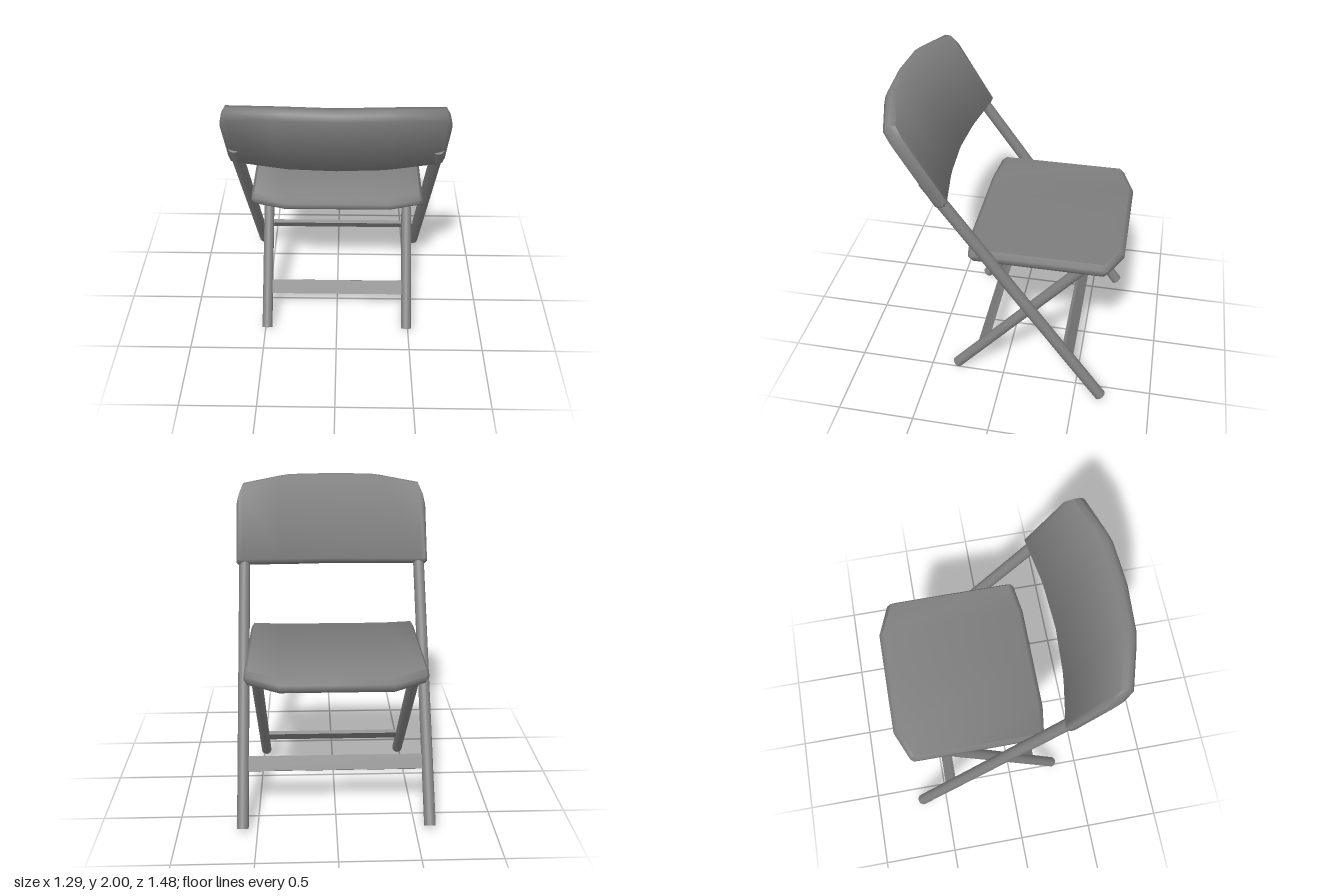
import * as THREE from 'three';
import { toCreasedNormals } from 'three/addons/utils/BufferGeometryUtils.js';

const grey = new THREE.MeshStandardMaterial({ color: 0x808080 });
grey.name = 'grey';

// Padded panel: bevelled slab sections lofted along x.
// Each half station is [x, start, end, halfThickness, zShift, yShift]; it is mirrored to -x.
// along and normal are unit directions in the yz plane.
function paddedPanel(name, half, origin, along, normal, bevel) {
  const mirrored = half.filter((s) => s[0] > 0).reverse().map(([x, ...rest]) => [-x, ...rest]);
  const stations = [...mirrored, ...half];
  const n = 8, positions = [], index = [];
  for (const [x, a0, a1, h, dz, dy] of stations) {
    const k = h / 3;
    const ring = [
      [a0, -k], [a0 + bevel, -h], [a1 - bevel, -h], [a1, -k],
      [a1, k], [a1 - bevel, h], [a0 + bevel, h], [a0, k],
    ];
    for (const [a, w] of ring) {
      const p = origin.clone().addScaledVector(along, a).addScaledVector(normal, w);
      positions.push(x, p.y + dy, p.z + dz);
    }
  }
  const last = (stations.length - 1) * n;
  for (let i = 0; i < last; i += n) {
    for (let j = 0; j < n; j++) {
      const k = (j + 1) % n;
      index.push(i + j, i + k, i + n + k, i + j, i + n + k, i + n + j);
    }
  }
  for (let j = 1; j < n - 1; j++) {
    index.push(0, j + 1, j, last, last + j, last + j + 1);
  }
  const geometry = new THREE.BufferGeometry();
  geometry.setAttribute('position', new THREE.Float32BufferAttribute(positions, 3));
  geometry.setIndex(index);
  const mesh = new THREE.Mesh(toCreasedNormals(geometry, 1.05), grey);
  mesh.name = name;
  return mesh;
}

// Round tube leg between two points
function rod(name, from, to, radius) {
  const dir = to.clone().sub(from);
  const mesh = new THREE.Mesh(new THREE.CylinderGeometry(radius, radius, dir.length(), 20), grey);
  mesh.position.copy(from).add(to).multiplyScalar(0.5);
  mesh.quaternion.setFromUnitVectors(new THREE.Vector3(0, 1, 0), dir.normalize());
  mesh.name = name;
  return mesh;
}

// Pair of legs with a flat crossbar lying in their plane
function legFrame(name, x, foot, top, radius, barY) {
  const group = new THREE.Group();
  group.name = name;
  for (const [side, s] of [['left', 1], ['right', -1]]) {
    group.add(rod(side + 'Leg', new THREE.Vector3(s * x, ...foot), new THREE.Vector3(s * x, ...top), radius));
  }
  const dy = top[0] - foot[0], dz = top[1] - foot[1];
  const bar = new THREE.Mesh(new THREE.BoxGeometry(2 * x - radius, 0.095, 0.025), grey);
  bar.name = 'crossbar';
  bar.position.set(0, barY, foot[1] + (barY - foot[0]) * dz / dy);
  bar.rotation.x = Math.atan2(dz, dy);
  group.add(bar);
  return group;
}

export function createModel() {
  const chair = new THREE.Group();
  chair.name = 'foldingChair';

  // Seat, with raised sides and clipped corners
  chair.add(paddedPanel('seat', [
    [0, -0.74, 0.235, 0.045, 0, 0],
    [0.34, -0.74, 0.235, 0.045, 0, 0],
    [0.53, -0.66, 0.205, 0.045, 0, 0.02],
    [0.55, -0.64, 0.19, 0.015, 0, 0.018],
  ], new THREE.Vector3(0, 1.025, 0), new THREE.Vector3(0, 0, 1), new THREE.Vector3(0, -1, 0), 0.03));

  // Backrest, leaning back and curved around the sitter
  chair.add(paddedPanel('backrest', [
    [0, 0, 0.636, 0.045, 0, 0],
    [0.28, 0, 0.634, 0.045, -0.016, 0],
    [0.35, 0, 0.622, 0.045, -0.025, 0.003],
    [0.60, 0, 0.569, 0.045, -0.068, 0.012],
    [0.63, 0, 0.49, 0.042, -0.076, 0.014],
    [0.645, 0.01, 0.42, 0.02, -0.08, 0.016],
  ], new THREE.Vector3(0, 1.446, 0.391), new THREE.Vector3(0, 0.862, 0.507),
  new THREE.Vector3(0, -0.507, 0.862), 0.02));

  // Crossed leg frames; points are [y, z]
  chair.add(legFrame('longLegFrame', 0.592, [0.022, -0.675], [1.6, 0.431], 0.037, 0.355));
  chair.add(legFrame('shortLegFrame', 0.485, [0.028, 0.325], [1.01, -0.505], 0.035, 0.245));

  return chair;
}
